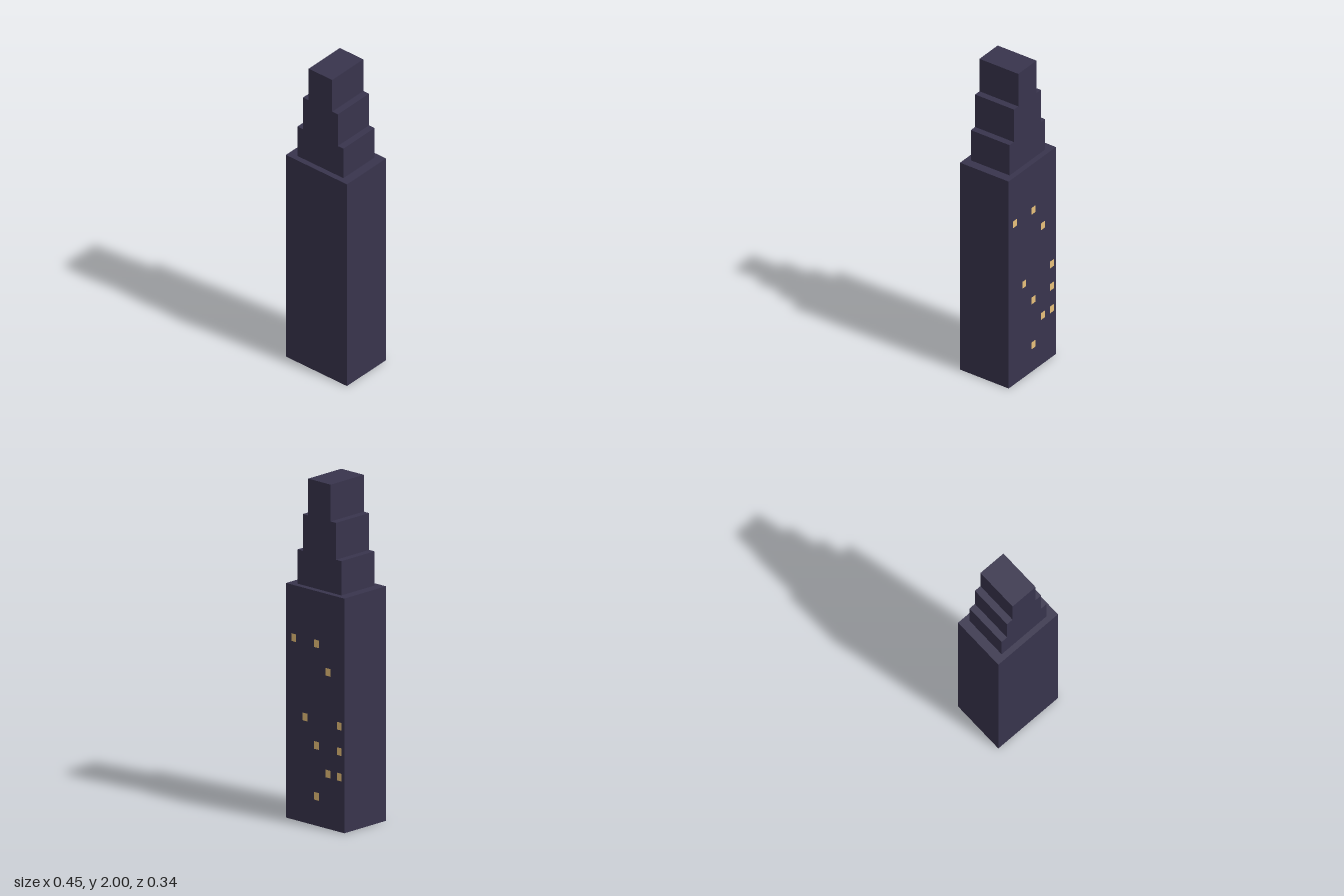
import * as THREE from 'three';

export function createModel() {
  const model = new THREE.Group();
  model.name = 'skyscraper';
  const wall = new THREE.MeshStandardMaterial({ color: 0x38344d });
  const glow = new THREE.MeshStandardMaterial({ color: 0xe8c07a, side: THREE.DoubleSide });

  // Main block and three stepped tiers: name, width, depth, bottom, top
  const blocks = [
    ['mainTower', 0.449, 0.337, 0, 1.37],
    ['lowerTier', 0.338, 0.269, 1.37, 1.57],
    ['middleTier', 0.256, 0.269, 1.57, 1.785],
    ['topTier', 0.173, 0.269, 1.785, 2],
  ];
  for (const [name, width, depth, bottom, top] of blocks) {
    const block = new THREE.Mesh(new THREE.BoxGeometry(width, top - bottom, depth), wall);
    block.name = name;
    block.position.y = (bottom + top) / 2;
    model.add(block);
  }

  // Lit windows on the back wall; each row lists its lit columns, counted from -x
  const litColumns = [[2], [0, 1], [0, 2], [0, 3], [], [1], [2, 4]];
  const pane = new THREE.PlaneGeometry(0.037, 0.045).rotateY(Math.PI);
  const windows = new THREE.Group();
  windows.name = 'litWindows';
  litColumns.forEach((columns, row) => {
    for (const column of columns) {
      const lit = new THREE.Mesh(pane, glow);
      lit.name = 'window';
      lit.position.set(-0.187 + column * 0.0882, 0.172 + row * 0.1485, -0.1695);
      windows.add(lit);
    }
  });
  model.add(windows);
  return model;
}
